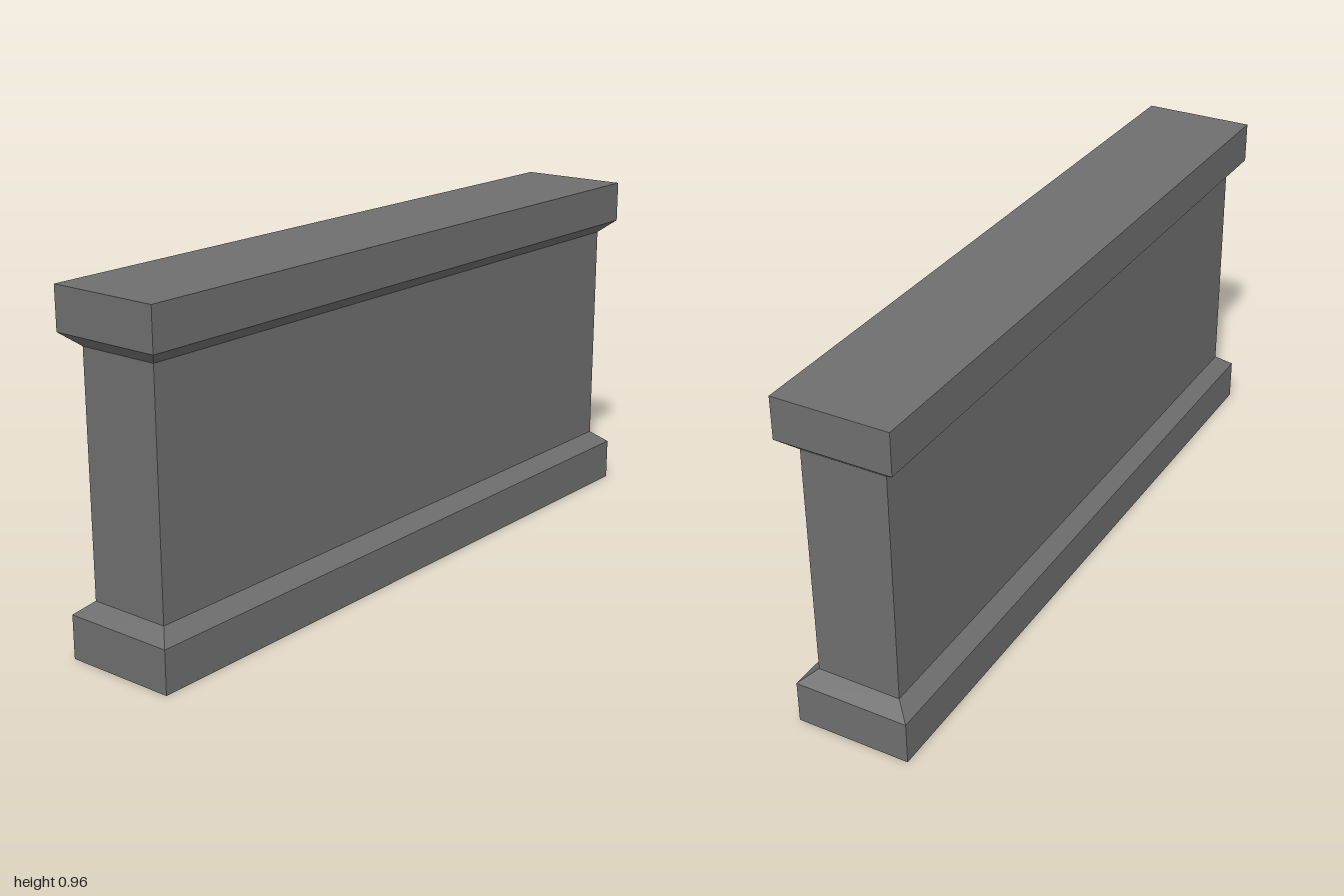
import * as THREE from 'three';

const OUTER = { x: 1, z: 0.162 };    // half sizes of plinth and cap
const INNER = { x: 0.959, z: 0.119 }; // half sizes of the wall core

// Straight or tapered four-sided block between two heights
function block(name, y0, y1, bottom, top, material) {
  const geometry = new THREE.BoxGeometry(2, y1 - y0, 2).toNonIndexed();
  geometry.translate(0, (y0 + y1) / 2, 0);
  const p = geometry.attributes.position;
  const middle = (y0 + y1) / 2;
  for (let i = 0; i < p.count; i++) {
    const size = p.getY(i) > middle ? top : bottom;
    p.setX(i, p.getX(i) * size.x);
    p.setZ(i, p.getZ(i) * size.z);
  }
  geometry.computeVertexNormals();
  const mesh = new THREE.Mesh(geometry, material);
  mesh.name = name;
  return mesh;
}

export function createModel() {
  const stone = new THREE.MeshStandardMaterial({ color: 0x6e6e6e });
  stone.name = 'grey stone';

  const wall = new THREE.Group();
  wall.name = 'lowWall';
  wall.add(
    block('plinth', 0, 0.12, OUTER, OUTER, stone),
    block('plinthBevel', 0.12, 0.155, OUTER, INNER, stone),
    block('wallCore', 0.155, 0.809, INNER, INNER, stone),
    block('capBevel', 0.809, 0.845, INNER, OUTER, stone),
    block('cap', 0.845, 0.962, OUTER, OUTER, stone),
  );
  return wall;
}
